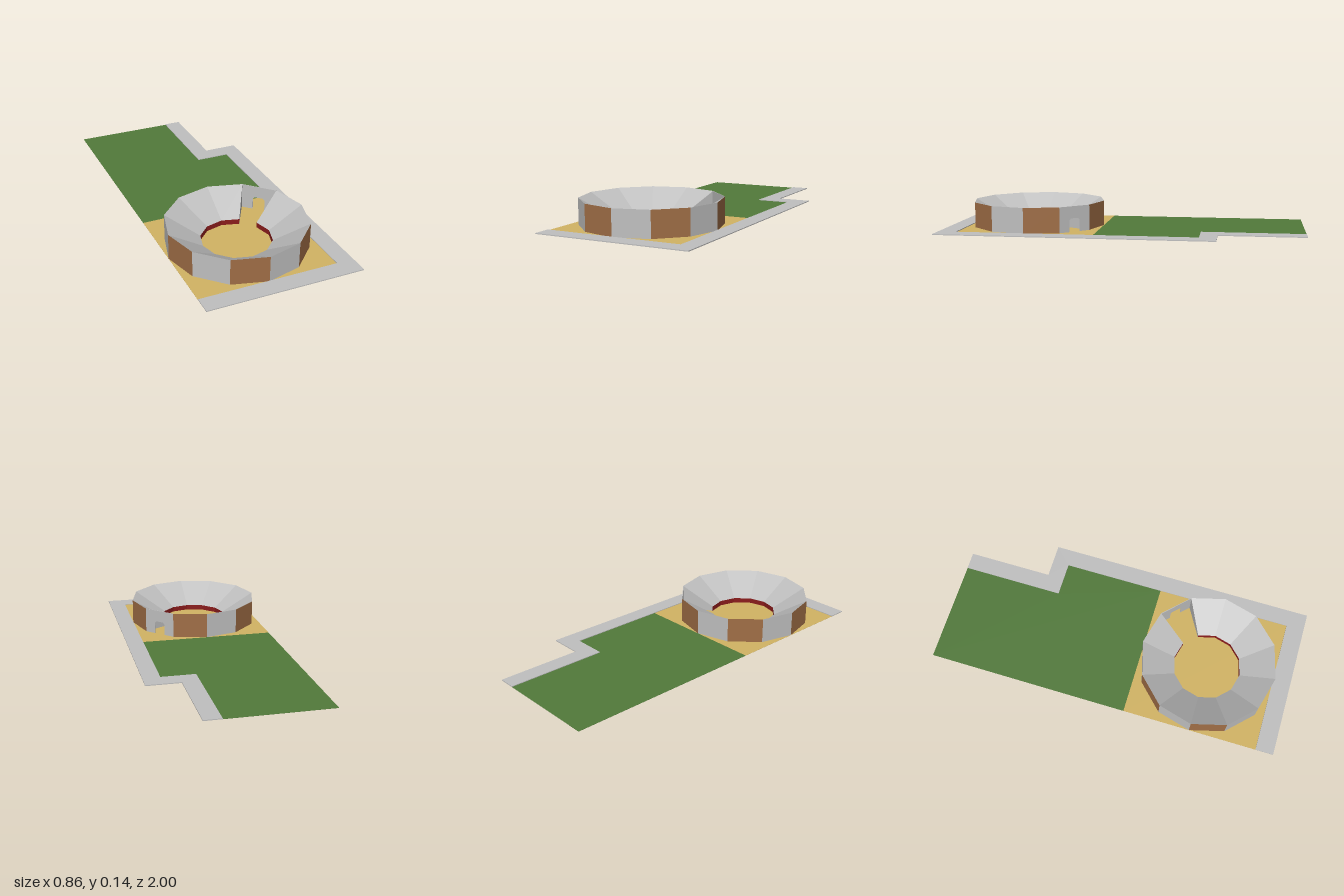
import * as THREE from 'three';

const R = 0.38, r = 0.19, H = 0.143, h = 0.03; // ring radii and heights
const SIDES = 12, GATE = 10, STEP = (Math.PI * 2) / SIDES;

function material(name, color, double = false) {
  const m = new THREE.MeshStandardMaterial({ color, flatShading: true });
  m.name = name;
  if (double) m.side = THREE.DoubleSide;
  return m;
}

function mesh(name, geometry, mat) {
  const m = new THREE.Mesh(geometry, mat);
  m.name = name;
  return m;
}

// Flat slab from an outline of [x, z] points, standing on y = 0
function slab(points, thickness) {
  const shape = new THREE.Shape(points.map(([x, z]) => new THREE.Vector2(x, z)));
  const g = new THREE.ExtrudeGeometry(shape, { depth: thickness, bevelEnabled: false });
  g.rotateX(Math.PI / 2);
  g.translate(0, thickness, 0);
  return g;
}

// Quads of the ring between two profile points [radius, height]
function band(a, b, segments) {
  const pos = [];
  const at = ([rad, y], i) => [rad * Math.cos(i * STEP), y, rad * Math.sin(i * STEP)];
  for (const i of segments) {
    const A0 = at(a, i), A1 = at(a, i + 1), B0 = at(b, i), B1 = at(b, i + 1);
    pos.push(...A1, ...A0, ...B0, ...A1, ...B0, ...B1);
  }
  const g = new THREE.BufferGeometry();
  g.setAttribute('position', new THREE.Float32BufferAttribute(pos, 3));
  g.computeVertexNormals();
  return g;
}

export function createModel() {
  const model = new THREE.Group();
  model.name = 'arenaSite';
  const green = material('grassGreen', 0x527a3b);
  const sand = material('sand', 0xd2b464);
  const grey = material('concreteGrey', 0xc0c0c0, true);
  const brown = material('wallBrown', 0xa06e46);
  const red = material('barrierRed', 0x8c1c1c, true);

  // Ground: lawn, sand yard and the stepped pavement
  model.add(mesh('lawn', slab([[-0.43, -1], [0.14, -1], [0.14, -0.43], [0.33, -0.43],
    [0.33, 0.14], [-0.43, 0.14]], 0.001), green));
  model.add(mesh('sandYard', slab([[-0.43, 0.14], [0.33, 0.14], [0.33, 0.9], [-0.43, 0.9]], 0.001), sand));
  model.add(mesh('pavement', slab([[0.14, -1], [0.235, -1], [0.235, -0.525], [0.425, -0.525], [0.425, 1],
    [-0.43, 1], [-0.43, 0.9], [0.33, 0.9], [0.33, -0.43], [0.14, -0.43]], 0.005), grey));

  // Twelve-sided ring of stands, open at the gate
  const arena = new THREE.Group();
  arena.name = 'arena';
  arena.position.set(-0.05, 0, 0.52);
  model.add(arena);
  const stands = [...Array(SIDES).keys()].filter((i) => i !== GATE);
  arena.add(mesh('greyWalls', band([R, 0], [R, H], stands.filter((i) => i % 2 === 0)), grey));
  arena.add(mesh('brownWalls', band([R, 0], [R, H], stands.filter((i) => i % 2 === 1)), brown));
  arena.add(mesh('seating', band([R, H], [r, h], stands), grey));
  arena.add(mesh('innerBarrier', band([r, h], [r, 0], stands), red));

  // Cut ends of the stands either side of the gate
  const section = new THREE.Shape([[r, 0], [R, 0], [R, H], [r, h]].map(([x, y]) => new THREE.Vector2(x, y)));
  for (const i of [GATE, GATE + 1]) {
    const end = mesh('standEnd', new THREE.ShapeGeometry(section), grey);
    end.rotation.y = -i * STEP;
    arena.add(end);
  }

  // Thin gate wall with a doorway
  const half = R * Math.sin(STEP / 2), d = 0.034, top = 0.076, c = 0.01;
  const outline = [[-half, 0], [-d, 0], [-d, top - c], [-d + c, top], [d - c, top], [d, top - c],
    [d, 0], [half, 0], [half, H], [-half, H]];
  const gateShape = new THREE.Shape(outline.map(([x, y]) => new THREE.Vector2(x, y)));
  const gate = mesh('gateWall', new THREE.ExtrudeGeometry(gateShape, { depth: 0.003, bevelEnabled: false }), grey);
  const angle = (GATE + 0.5) * STEP, apothem = R * Math.cos(STEP / 2) - 0.003;
  gate.position.set(apothem * Math.cos(angle), 0, apothem * Math.sin(angle));
  gate.rotation.y = Math.PI / 2 - angle;
  arena.add(gate);

  return model;
}
